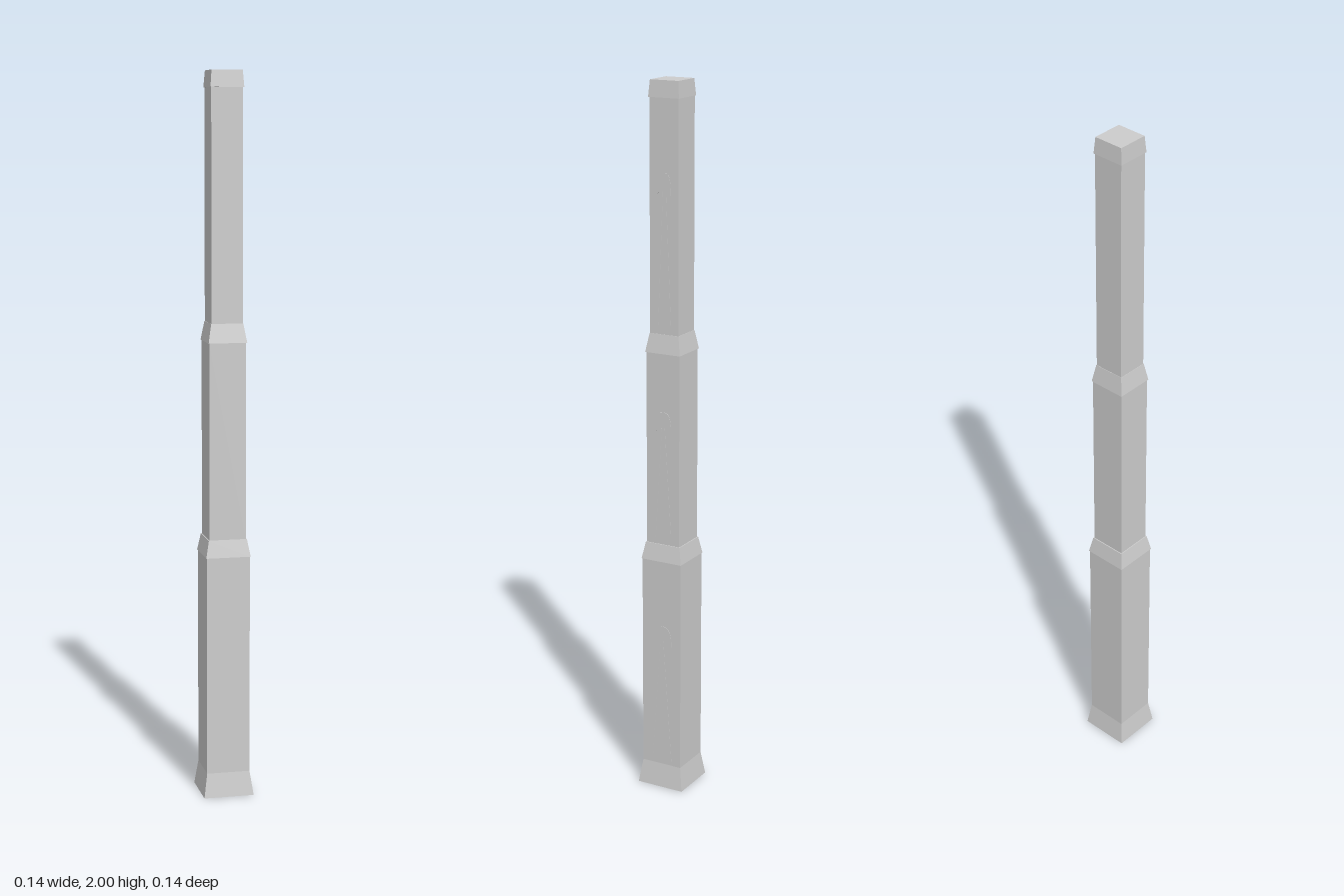
import * as THREE from 'three';

const stone = new THREE.MeshStandardMaterial({ color: 0xcccccc });
stone.name = 'paleGrey';

// Square ring solid from a [halfWidth, y] profile, with hard edges
function squareLathe(name, profile) {
  const points = profile.map(([half, y]) => new THREE.Vector2(half * Math.SQRT2, y));
  const geometry = new THREE.LatheGeometry(points, 4, Math.PI / 4).toNonIndexed();
  geometry.computeVertexNormals();
  const mesh = new THREE.Mesh(geometry, stone);
  mesh.name = name;
  return mesh;
}

// Thin plate drawn in (x, y), later turned to face +x
function plate(name, shape) {
  const geometry = new THREE.ExtrudeGeometry(shape, { depth: 0.0015, bevelEnabled: false, curveSegments: 10 });
  const mesh = new THREE.Mesh(geometry, stone);
  mesh.name = name;
  return mesh;
}

// Domed outline of the ornament's cap
function domePath(Type, half, base, top) {
  const path = new Type();
  path.moveTo(-half, base);
  path.bezierCurveTo(-half, top, -half * 0.5, top, 0, top);
  path.bezierCurveTo(half * 0.5, top, half, top, half, base);
  path.quadraticCurveTo(0, base + (top - base) * 0.6, -half, base);
  return path;
}

// Line ornament: two spreading legs below a small domed cap
function ornament(wallX, half, bottom, top) {
  const group = new THREE.Group();
  group.name = 'ornament';
  const apex = top - 0.045;
  const line = 0.003;
  for (const side of [-1, 1]) {
    const leg = new THREE.Shape([
      new THREE.Vector2(side * half, bottom),
      new THREE.Vector2(side * (half - line), bottom),
      new THREE.Vector2(side * 0.003, apex),
      new THREE.Vector2(side * (0.003 + line), apex),
    ]);
    group.add(plate('ornamentLeg', leg));
  }
  const cap = domePath(THREE.Shape, half, top - 0.06, top);
  cap.holes.push(domePath(THREE.Path, half - line * 1.5, top - 0.05, top - line));
  group.add(plate('ornamentCap', cap));
  group.rotation.y = Math.PI / 2;
  group.position.x = wallX - 0.0005;
  return group;
}

export function createModel() {
  const model = new THREE.Group();
  model.name = 'steppedPillar';

  // Flared foot with a closed underside
  model.add(squareLathe('foot', [[0, 0], [0.0705, 0], [0.0605, 0.068]]));

  // Three stacked shafts, each narrower, with an overhanging sloped collar
  const tiers = [
    { half: 0.0605, y0: 0.068, y1: 0.682, lip: 0.0625, shoulder: 0.0535, y2: 0.73, next: 0.051 },
    { half: 0.051, y0: 0.73, y1: 1.273, lip: 0.0535, shoulder: 0.0445, y2: 1.325, next: 0.0435 },
    { half: 0.0435, y0: 1.325, y1: 1.955, lip: 0.046, shoulder: 0.0425, y2: 2, next: 0 },
  ];
  for (const t of tiers) {
    model.add(squareLathe('shaft', [[t.half, t.y0], [t.half, t.y1]]));
    model.add(squareLathe(t.next ? 'collar' : 'cap',
      [[t.half, t.y1], [t.lip, t.y1], [t.shoulder, t.y2], [t.next, t.y2]]));
  }

  // Ornaments on the left face
  model.add(ornament(0.0605, 0.032, 0.08, 0.49));
  model.add(ornament(0.051, 0.026, 0.75, 1.11));
  model.add(ornament(0.0435, 0.021, 1.35, 1.76));
  return model;
}
